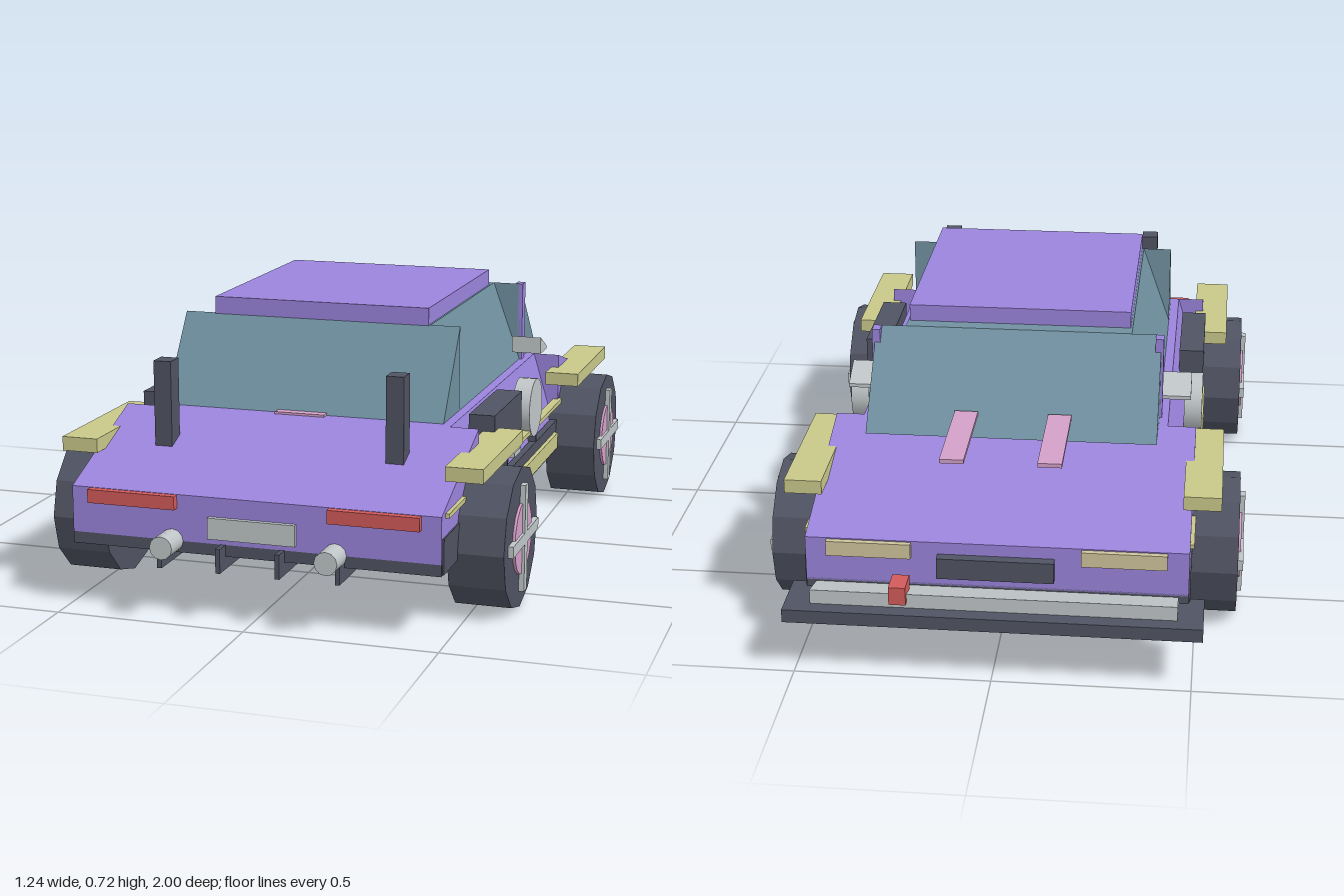
import * as THREE from 'three';

const mat = (name, color) => {
  const m = new THREE.MeshStandardMaterial({ color });
  m.name = name;
  return m;
};

export function createModel() {
  const car = new THREE.Group();
  car.name = 'car';
  const purple = mat('purple paint', 0x9a84dc);
  const glass = mat('blue grey glass', 0x7090a0);
  const dark = mat('dark trim', 0x505362);
  const olive = mat('olive trim', 0xc8c88a);
  const silver = mat('silver', 0xc0c6c8);
  const pink = mat('pink', 0xd4a0c8);
  const red = mat('red', 0xd25a5a);
  const cream = mat('cream lamp', 0xcfc49c);

  const add = (name, geo, material, parent = car) => {
    const m = new THREE.Mesh(geo, material);
    m.name = name;
    parent.add(m);
    return m;
  };
  // Box given by its limits on each axis
  const box = (name, material, [x0, x1], [y0, y1], [z0, z1]) => {
    const g = new THREE.BoxGeometry(x1 - x0, y1 - y0, z1 - z0);
    g.translate((x0 + x1) / 2, (y0 + y1) / 2, (z0 + z1) / 2);
    return add(name, g, material);
  };
  // The same box on both sides
  const pair = (name, material, [x0, x1], y, z) => {
    box(name + 'Left', material, [x0, x1], y, z);
    box(name + 'Right', material, [-x1, -x0], y, z);
  };
  const extrude = (points, depth) => {
    const shape = new THREE.Shape(points.map(([a, b]) => new THREE.Vector2(a, b)));
    const g = new THREE.ExtrudeGeometry(shape, { depth, bevelEnabled: false });
    return g.translate(0, 0, -depth / 2);
  };
  // Side profile in (z, y), extruded across the car
  const sidePrism = (name, material, points, width, x = 0) =>
    add(name, extrude(points, width).rotateY(-Math.PI / 2).translate(x, 0, 0), material);
  // Cross-section tapering upward, extruded along the car
  const taper = (name, material, bottom, top, y0, y1, z0, z1) =>
    add(name, extrude([[-bottom, y0], [bottom, y0], [top, y1], [-top, y1]], z1 - z0)
      .translate(0, 0, (z0 + z1) / 2), material);

  // Body shell
  taper('midBody', purple, 0.485, 0.41, 0.2, 0.455, -0.4, 0.57);
  sidePrism('frontDeck', purple, [[0.57, 0.2], [0.925, 0.2], [0.925, 0.32], [0.57, 0.455]], 0.97);
  sidePrism('rearDeck', purple, [[-0.87, 0.2], [-0.4, 0.2], [-0.4, 0.455], [-0.87, 0.32]], 0.97);
  box('floor', dark, [-0.485, 0.485], [0.17, 0.205], [-0.87, 0.925]);
  pair('skirt', dark, [0.47, 0.489], [0.172, 0.263], [-0.86, 0.915]);
  pair('sill', olive, [0.47, 0.5], [0.187, 0.232], [-0.34, 0.41]);
  pair('sideStripe', olive, [0.47, 0.495], [0.308, 0.32], [-0.82, 0.89]);

  // Cabin
  taper('cabinGlass', glass, 0.385, 0.305, 0.455, 0.68, -0.31, 0.385);
  sidePrism('frontWindow', glass, [[0.385, 0.455], [0.545, 0.455], [0.385, 0.68]], 0.77);
  sidePrism('rearWindow', glass, [[-0.525, 0.455], [-0.31, 0.455], [-0.31, 0.68]], 0.77);
  box('roof', purple, [-0.3, 0.3], [0.678, 0.725], [-0.268, 0.388]);
  pair('pillar', purple, [0.37, 0.392], [0.45, 0.68], [-0.345, -0.31]);

  // Side details
  pair('sideIntake', dark, [0.425, 0.495], [0.325, 0.46], [0.13, 0.44]);
  pair('doorHandle', silver, [0.465, 0.493], [0.287, 0.3], [0.12, 0.2]);
  for (const z of [0.255, -0.095]) {
    pair('doorSeam', dark, [0.45, 0.488], [0.255, 0.308], [z - 0.005, z + 0.005]);
  }
  for (const s of [-1, 1]) {
    add('sideDisc', new THREE.CylinderGeometry(0.083, 0.083, 0.05, 20)
      .rotateZ(Math.PI / 2).translate(s * 0.472, 0.375, -0.043), silver);
    sidePrism('mirror', silver, [[-0.305, 0.492], [-0.225, 0.492], [-0.225, 0.54], [-0.305, 0.502]],
      0.085, s * 0.425);
  }

  // Fenders and wheels
  for (const z of [0.605, -0.535]) {
    pair('fender', olive, [0.463, 0.56], [0.38, 0.417], [z - 0.213, z + 0.213]);
    for (const s of [-1, 1]) {
      const wheel = new THREE.Group();
      wheel.name = 'wheel';
      wheel.position.set(s * 0.534, 0.19, z);
      car.add(wheel);
      const tyre = new THREE.CylinderGeometry(0.185, 0.185, 0.146, 12).toNonIndexed();
      tyre.computeVertexNormals();
      add('tyre', tyre.rotateZ(Math.PI / 2), dark, wheel);
      add('hub', new THREE.CylinderGeometry(0.095, 0.095, 0.16, 16).rotateZ(Math.PI / 2), pink, wheel);
      for (const [h, d] of [[0.28, 0.03], [0.03, 0.28]]) {
        add('spoke', new THREE.BoxGeometry(0.024, h, d).translate(s * 0.075, 0, 0), silver, wheel);
      }
    }
  }

  // Front end: lamps, plate, pipes, fins and posts
  pair('redLamp', red, [0.2, 0.435], [0.284, 0.319], [0.91, 0.945]);
  box('plate', silver, [-0.115, 0.115], [0.215, 0.27], [0.92, 0.938]);
  for (const x of [-0.215, 0.215]) {
    add('pipe', new THREE.CylinderGeometry(0.03, 0.03, 0.1, 12)
      .rotateX(Math.PI / 2).translate(x, 0.2, 0.95), silver);
  }
  for (const x of [0.078, 0.234]) {
    pair('fin', dark, [x - 0.006, x + 0.006], [0.137, 0.2], [0.815, 0.965]);
  }
  pair('post', dark, [0.288, 0.335], [0.39, 0.615], [0.685, 0.738]);
  box('deckVent', pink, [-0.068, 0.068], [0.45, 0.461], [0.535, 0.567]);

  // Rear end: lamps, grille, bumper and floating strips
  pair('creamLamp', cream, [0.215, 0.43], [0.277, 0.317], [-0.885, -0.86]);
  box('grille', dark, [-0.148, 0.148], [0.232, 0.288], [-0.897, -0.86]);
  box('bumper', dark, [-0.525, 0.525], [0.145, 0.18], [-1, -0.845]);
  sidePrism('bumperPlate', silver, [[-0.96, 0.18], [-0.865, 0.18], [-0.865, 0.195], [-0.96, 0.218]], 0.92);
  box('bumperLamp', red, [0.215, 0.258], [0.195, 0.243], [-0.975, -0.905]);
  box('deckStripLeft', pink, [0.09, 0.152], [0.5, 0.511], [-0.785, -0.48]);
  box('deckStripRight', pink, [-0.158, -0.096], [0.5, 0.511], [-0.785, -0.48]);

  return car;
}
